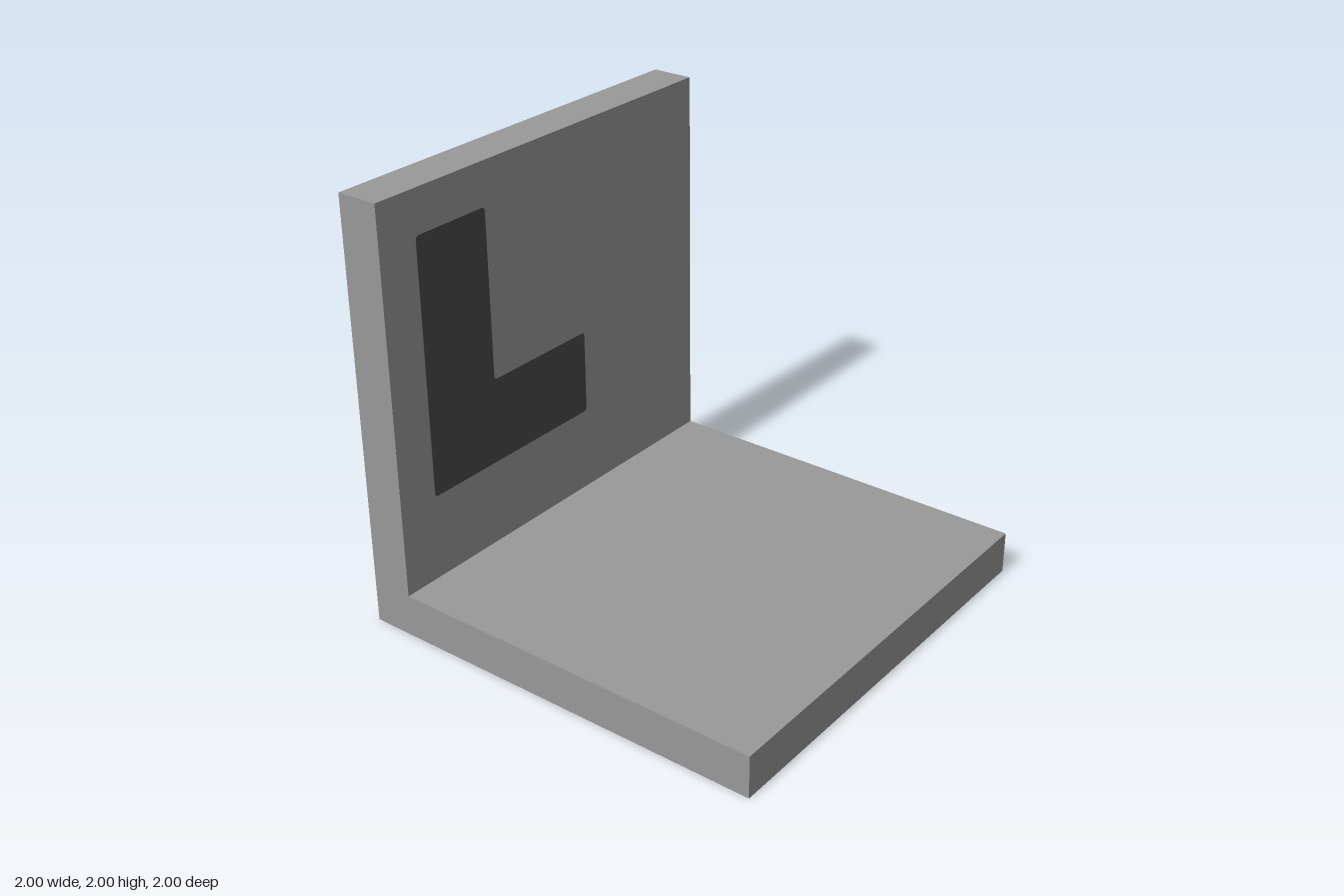
import * as THREE from 'three';

const R = 0.02; // corner radius of the panel marking

// Closed outline with softly rounded corners
function roundedShape(points, r) {
  const shape = new THREE.Shape();
  const v = points.map(([x, y]) => new THREE.Vector2(x, y));
  v.forEach((p, i) => {
    const prev = v[(i + v.length - 1) % v.length];
    const next = v[(i + 1) % v.length];
    const a = p.clone().add(prev.clone().sub(p).setLength(r));
    const b = p.clone().add(next.clone().sub(p).setLength(r));
    if (i === 0) shape.moveTo(a.x, a.y);
    else shape.lineTo(a.x, a.y);
    shape.quadraticCurveTo(p.x, p.y, b.x, b.y);
  });
  shape.closePath();
  return shape;
}

export function createModel() {
  const group = new THREE.Group();
  const grey = new THREE.MeshStandardMaterial({ color: 0x999999 });
  grey.name = 'grey';
  const darkGrey = new THREE.MeshStandardMaterial({ color: 0x4a4a4a });
  darkGrey.name = 'darkGrey';

  // Floor and wall as one angled profile, extruded along z
  const profile = new THREE.Shape([
    [-1, 0], [1, 0], [1, 0.2], [-0.8, 0.2], [-0.8, 2], [-1, 2],
  ].map(([x, y]) => new THREE.Vector2(x, y)));
  const bracketGeo = new THREE.ExtrudeGeometry(profile, { depth: 2, bevelEnabled: false });
  bracketGeo.translate(0, 0, -1);
  const bracket = new THREE.Mesh(bracketGeo, grey);
  bracket.name = 'floorAndWall';
  group.add(bracket);

  // Angled marking, drawn with shape x = -z, a thin plate on each wall face
  const marking = roundedShape([
    [-0.8, 0.6], [0.2, 0.6], [0.2, 1], [-0.4, 1], [-0.4, 1.8], [-0.8, 1.8],
  ], R);
  const thickness = 0.004;
  const plateGeo = new THREE.ExtrudeGeometry(marking, {
    depth: thickness, bevelEnabled: false, curveSegments: 4,
  });
  plateGeo.rotateY(Math.PI / 2);
  // Half sunk into the wall; the outer one stays within the 2 unit width
  [['innerMarking', -0.8 - thickness / 2], ['outerMarking', -1 - thickness / 2]].forEach(([name, x]) => {
    const plate = new THREE.Mesh(plateGeo, darkGrey);
    plate.name = name;
    plate.position.x = x;
    group.add(plate);
  });

  return group;
}
